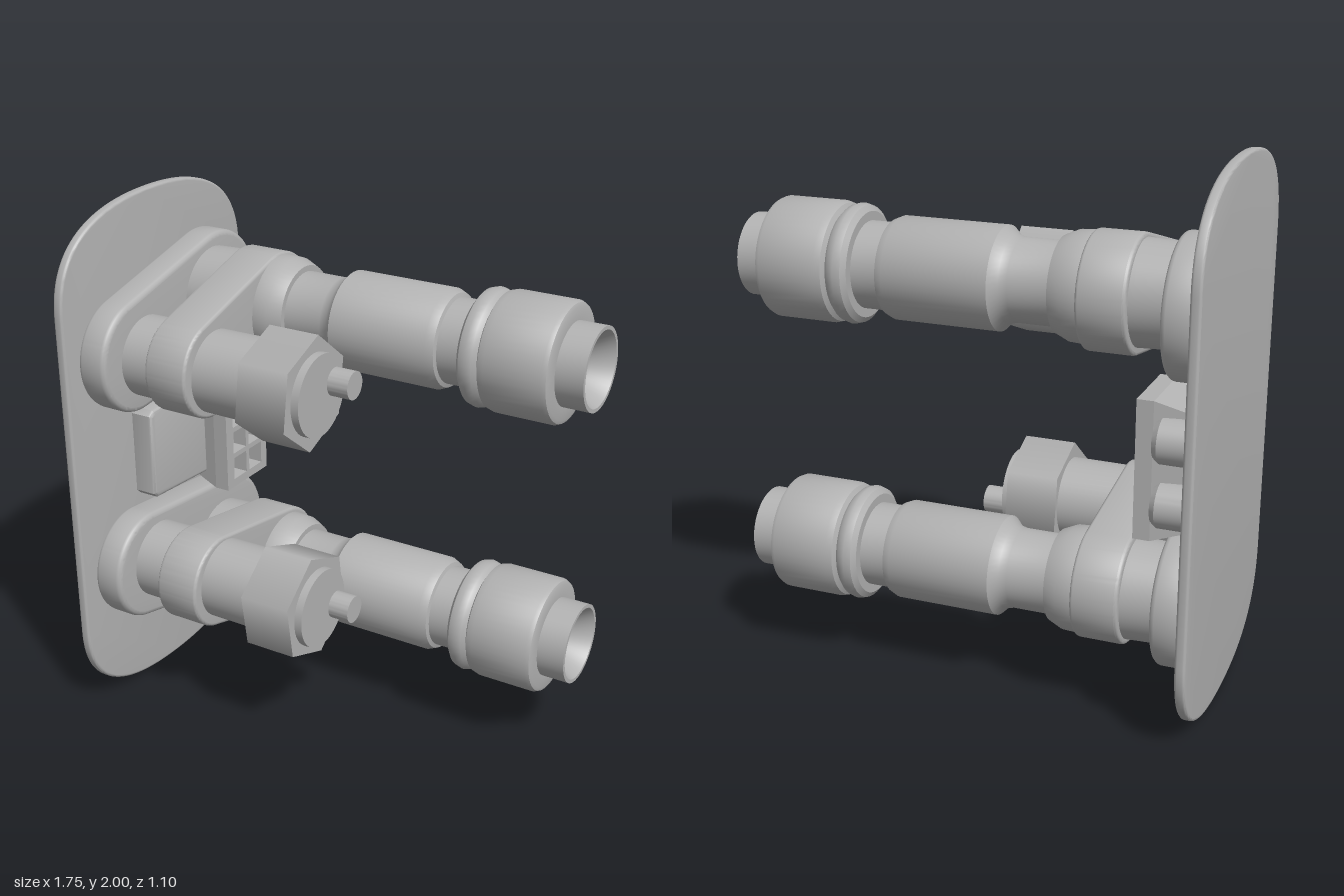
import * as THREE from 'three';
import { toCreasedNormals } from 'three/addons/utils/BufferGeometryUtils.js';

const gray = new THREE.MeshStandardMaterial({ color: 0xb2b2b2 });
gray.name = 'plain gray';

function add(parent, name, geometry) {
  const mesh = new THREE.Mesh(geometry, gray);
  mesh.name = name;
  parent.add(mesh);
  return mesh;
}

// Slab lying against the wall: shape is drawn in (-z, y), thickness runs from x0 to x1
function slab(shape, x0, x1, bevel = 0) {
  const g = new THREE.ExtrudeGeometry(shape, {
    depth: x1 - x0 - 2 * bevel, bevelEnabled: bevel > 0, bevelSize: bevel,
    bevelThickness: bevel, bevelOffset: -bevel, bevelSegments: 3, curveSegments: 32,
  });
  g.translate(0, 0, x0 + bevel);
  g.rotateY(Math.PI / 2);
  return toCreasedNormals(g, 0.6);
}

// Outline wrapped around two circles [z, y, r]
function beltShape([z1, y1, r1], [z2, y2, r2]) {
  const dx = z1 - z2, dy = y2 - y1;
  const a = Math.atan2(dy, dx), phi = Math.acos((r1 - r2) / Math.hypot(dx, dy));
  const s = new THREE.Shape();
  s.absarc(-z2, y2, r2, a - phi, a + phi, false);
  s.absarc(-z1, y1, r1, a + phi, a - phi + Math.PI * 2, false);
  return s;
}

// Turned part along x from [x, radius] points
function turned(points, y, z) {
  const g = new THREE.LatheGeometry(points.map(([x, r]) => new THREE.Vector2(r, x)), 48);
  g.rotateZ(-Math.PI / 2);
  g.translate(0, y, z);
  return toCreasedNormals(g, 0.6);
}

function polygonShape(points) {
  return new THREE.Shape(points.map(([u, v]) => new THREE.Vector2(u, v)));
}

// One barrel assembly; side is +1 for the upper and -1 for the lower
function createAssembly(side) {
  const group = new THREE.Group();
  group.name = side > 0 ? 'upperAssembly' : 'lowerAssembly';
  const h = (y) => 1.005 + side * (y - 1.005);

  add(group, 'baseFlange',
    slab(beltShape([0.26, h(1.44), 0.215], [-0.25, h(1.53), 0.25]), -0.85, -0.73, 0.02));
  add(group, 'linkPlate',
    slab(beltShape([0.235, h(1.44), 0.182], [-0.215, h(1.545), 0.208]), -0.595, -0.42, 0.012));

  // Main barrel with its collar, muzzle sleeve and hollow tip
  add(group, 'mainBarrel', turned([
    [-0.74, 0], [-0.74, 0.18], [-0.61, 0.185], [-0.42, 0.195], [-0.36, 0.192], [-0.31, 0.17],
    [-0.31, 0.148], [-0.16, 0.148], [-0.13, 0.155], [-0.1, 0.185], [0.29, 0.185], [0.32, 0.172],
    [0.325, 0.157], [0.42, 0.157], [0.42, 0.19], [0.435, 0.21], [0.46, 0.217], [0.485, 0.21],
    [0.5, 0.195], [0.51, 0.213], [0.535, 0.22], [0.75, 0.22], [0.765, 0.213], [0.77, 0.2],
    [0.77, 0.152], [0.875, 0.152], [0.875, 0.138], [0.8, 0.1], [0.77, 0.1], [0.77, 0],
  ], h(1.55), -0.21));

  // Short side cylinder ending in a hexagonal cap and offset pin
  add(group, 'sideCylinder', turned([
    [-0.74, 0], [-0.74, 0.14], [-0.73, 0.152], [-0.19, 0.155], [-0.19, 0],
  ], h(1.43), 0.22));
  const hex = new THREE.CylinderGeometry(0.212, 0.212, 0.2, 6, 1, false,
    side * (Math.PI / 2 - 0.15), Math.PI * 2);
  hex.rotateZ(-Math.PI / 2);
  add(group, 'hexCap', hex).position.set(-0.1, h(1.43), 0.23);
  add(group, 'capDisc', turned([[-0.01, 0], [-0.01, 0.152], [0.03, 0.152], [0.03, 0]], h(1.43), 0.23));
  add(group, 'pin', turned([[0.02, 0], [0.02, 0.052], [0.112, 0.052], [0.112, 0]], h(1.455), 0.142));
  return group;
}

// Socket block with two columns of four pockets, flanked by cable stubs and a cover
function createSocket() {
  const group = new THREE.Group();
  group.name = 'socketUnit';

  const cover = polygonShape([[-0.2, 0.84], [-0.18, 0.82], [0.15, 0.8], [0.15, 1.205], [-0.18, 1.185], [-0.2, 1.165]]);
  add(group, 'cover', slab(cover, -0.86, -0.75, 0.015));

  const frame = polygonShape([[0.13, 0.745], [0.41, 0.745], [0.41, 1.245], [0.13, 1.245]]);
  for (const u of [0.22, 0.327]) {
    for (let row = 0; row < 4; row++) {
      const v = 0.825 + row * 0.113, a = 0.044, b = 0.046;
      frame.holes.push(new THREE.Path([[-a, -b], [-a, b], [a, b], [a, -b]]
        .map(([p, q]) => new THREE.Vector2(u + p, v + q))));
    }
  }
  add(group, 'pocketFrame', slab(frame, -0.7, -0.64));

  // Body narrows toward the wall
  const body = new THREE.BoxGeometry(0.16, 0.5, 0.28);
  const p = body.attributes.position;
  for (let i = 0; i < p.count; i++) {
    if (p.getX(i) < 0) p.setXYZ(i, p.getX(i), p.getY(i) * 0.8, p.getZ(i) * 0.8);
  }
  body.computeVertexNormals();
  add(group, 'socketBody', body).position.set(-0.78, 0.995, -0.27);

  for (const y of [0.88, 1.11]) {
    add(group, 'cableStub', turned([[-0.85, 0], [-0.85, 0.08], [-0.73, 0.08], [-0.71, 0.065], [-0.71, 0]], y, -0.4));
  }
  return group;
}

export function createModel() {
  const model = new THREE.Group();
  model.name = 'twinBarrelMount';

  // Rounded wall plate
  const wall = new THREE.Shape();
  wall.moveTo(0.55, 0.36);
  wall.lineTo(0.55, 1.64);
  wall.bezierCurveTo(0.55, 1.88, 0.37, 2, 0, 2);
  wall.bezierCurveTo(-0.37, 2, -0.55, 1.88, -0.55, 1.64);
  wall.lineTo(-0.55, 0.36);
  wall.bezierCurveTo(-0.55, 0.12, -0.37, 0, 0, 0);
  wall.bezierCurveTo(0.37, 0, 0.55, 0.12, 0.55, 0.36);
  add(model, 'wallPlate', slab(wall, -0.878, -0.84, 0.01));

  for (const side of [1, -1]) model.add(createAssembly(side));
  model.add(createSocket());
  return model;
}
